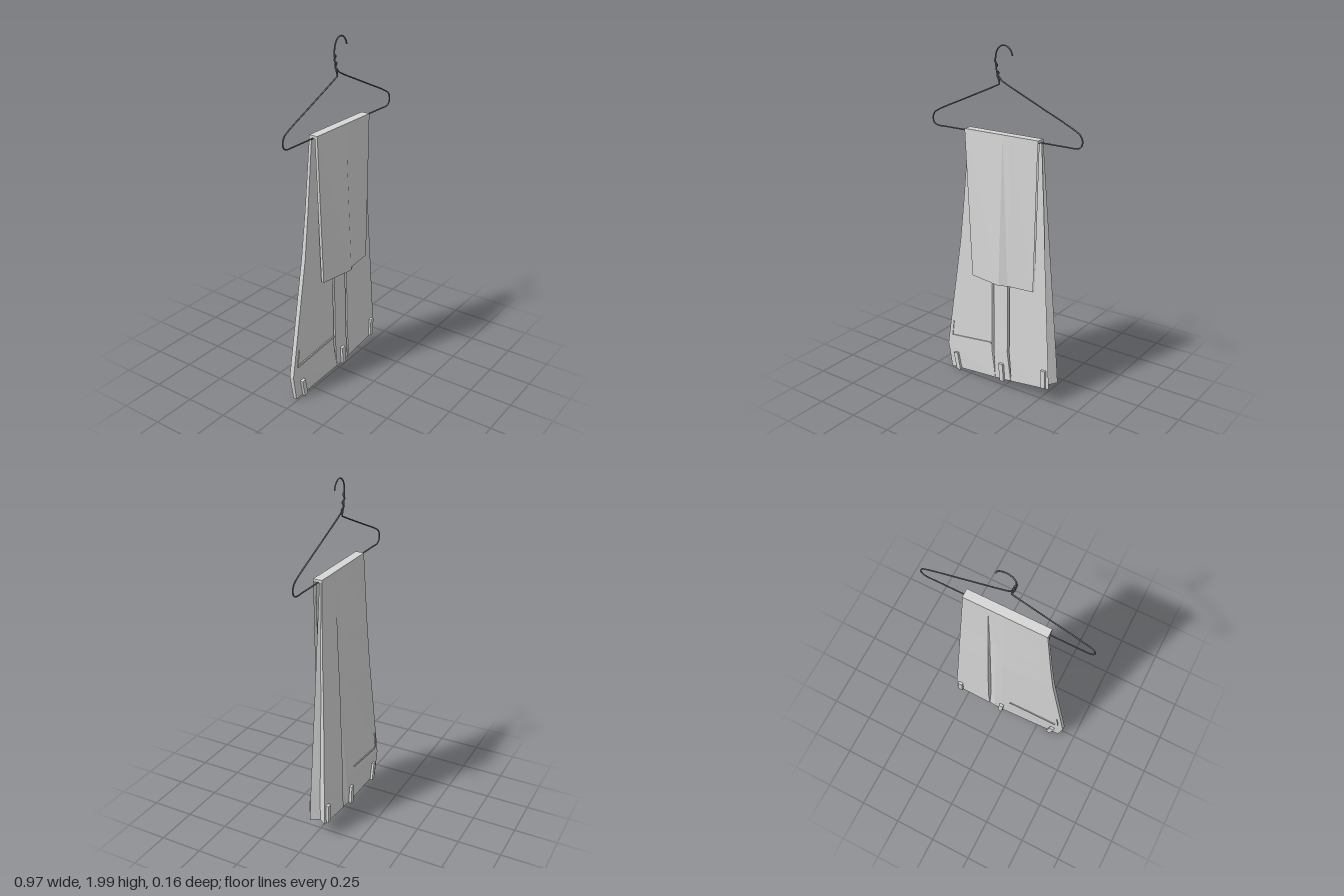
import * as THREE from 'three';

const cloth = new THREE.MeshStandardMaterial({ name: 'light grey cloth', color: 0xd7d7d7, flatShading: true, side: THREE.DoubleSide });
const wire = new THREE.MeshStandardMaterial({ name: 'grey wire', color: 0x707070 });

const V = (x, y, z) => new THREE.Vector3(x, y, z);

function add(parent, name, geometry, material) {
  const mesh = new THREE.Mesh(geometry, material);
  mesh.name = name;
  parent.add(mesh);
  return mesh;
}

// Open tube joining rings of equal length, from top to bottom
function loft(rings) {
  const n = rings[0].length;
  const index = [];
  for (let r = 0; r < rings.length - 1; r++) {
    for (let i = 0; i < n; i++) {
      const a = r * n + i, b = r * n + (i + 1) % n;
      index.push(a, b, a + n, b, b + n, a + n);
    }
  }
  const geometry = new THREE.BufferGeometry();
  geometry.setAttribute('position', new THREE.Float32BufferAttribute(rings.flat().flatMap((p) => p.toArray()), 3));
  geometry.setIndex(index);
  geometry.computeVertexNormals();
  return geometry;
}

// Depth across a row, from its left, centre and right values
function across(z, x, l, r) {
  return x < 0 ? THREE.MathUtils.lerp(z[1], z[0], x / l) : THREE.MathUtils.lerp(z[1], z[2], x / r);
}

// One cross-section of the trousers, with pleat grooves on both faces
function bodyRing({ l, r, back, front, groove, tuck, shift }) {
  const at = (x, z) => V(x, THREE.MathUtils.mapLinear(x, l[0], r[0], l[1], r[1]), z);
  const ring = [];
  for (const [x, d] of [[l[0], 0], [0, 0], [0.045, 0], [0.085, 1], [0.092, 0], [r[0], 0]]) {
    ring.push(at(x, across(back, x, l[0], r[0]) + d * groove));
  }
  // side seam tucked inward
  ring.push(at(r[0] - tuck, (back[2] + front[2]) / 2));
  for (const [x, d] of [[r[0], 0], [0.047, 0], [0.04, 1], [0.033, 0], [-0.066, 0], [-0.072, 0.4], [-0.08, 0], [l[0], 0]]) {
    const px = x === r[0] || x === l[0] ? x : x + shift;
    ring.push(at(px, across(front, px, l[0], r[0]) - d * groove));
  }
  return ring;
}

// Thin straight strip between two points
function strip(parent, name, a, b, width, depth) {
  const d = b.clone().sub(a);
  const mesh = add(parent, name, new THREE.BoxGeometry(d.length(), width, depth), cloth);
  mesh.position.copy(a).add(b).multiplyScalar(0.5);
  mesh.quaternion.setFromUnitVectors(V(1, 0, 0), d.normalize());
}

function tube(parent, name, points, radius, segments) {
  const path = new THREE.CatmullRomCurve3(points.map(([x, y, z = 0.008]) => V(x, y, z)));
  add(parent, name, new THREE.TubeGeometry(path, segments, radius, 8), wire);
}

export function createModel() {
  const model = new THREE.Group();
  model.name = 'trousersOnHanger';

  // Long part of the trousers, waist at the bottom
  const trousers = new THREE.Group();
  trousers.name = 'trousers';
  model.add(trousers);
  const rows = [
    { l: [-0.24, 1.525], r: [0.235, 1.525], back: [-0.015, -0.015, -0.015], front: [0, 0, 0], groove: 0, tuck: 0.004, shift: 0 },
    { l: [-0.28, 1.12], r: [0.262, 1.12], back: [-0.02, -0.03, -0.028], front: [0, 0.008, 0.008], groove: 0.006, tuck: 0.012, shift: 0 },
    { l: [-0.31, 0.86], r: [0.277, 0.86], back: [-0.025, -0.042, -0.04], front: [0, 0.014, 0.014], groove: 0.015, tuck: 0.02, shift: 0 },
    { l: [-0.425, 0.16], r: [0.314, 0.29], back: [-0.035, -0.061, -0.06], front: [-0.008, 0.024, 0.027], groove: 0.026, tuck: 0.03, shift: 0.003 },
    { l: [-0.4, 0.005], r: [0.325, 0.1], back: [-0.032, -0.062, -0.066], front: [-0.01, 0.024, 0.029], groove: 0.004, tuck: 0.035, shift: 0.018 },
  ];
  add(trousers, 'body', loft(rows.map(bodyRing)), cloth);

  // Folded legs hanging in front, bulging along the crease
  const flapRing = (y, l, r, back, edge, bulge) => [
    V(l, y, back), V(r, y, back), V(r - 0.012, y, (back + edge) / 2), V(r, y, edge),
    V(0.06, y, edge + bulge * 0.42), V(0.012, y, edge + bulge), V(l, y, edge),
  ];
  add(trousers, 'foldedLegs', loft([
    flapRing(1.525, -0.24, 0.235, 0.02, 0.036, 0),
    flapRing(0.678, -0.198, 0.217, 0.022, 0.038, 0.039),
  ]), cloth);

  // Fold over the bar
  const fold = add(trousers, 'fold', new THREE.BoxGeometry(0.477, 0.015, 0.052), cloth);
  fold.position.set(-0.002, 1.525, 0.01);

  // Pocket welts and their side seams
  strip(trousers, 'frontPocket', V(-0.39, 0.22, -0.003), V(-0.08, 0.268, 0.0205), 0.012, 0.007);
  strip(trousers, 'backPocket', V(-0.37, 0.215, -0.041), V(-0.06, 0.268, -0.058), 0.01, 0.006);
  strip(trousers, 'frontPocketSeam', V(-0.388, 0.22, -0.005), V(-0.375, 0.32, -0.003), 0.004, 0.006);
  strip(trousers, 'backPocketSeam', V(-0.388, 0.215, -0.038), V(-0.375, 0.32, -0.037), 0.004, 0.006);

  // Belt loops on both faces
  for (const [x, y, zFront, zBack] of [[-0.345, 0.062, 0.004, -0.044], [0, 0.107, 0.03, -0.069], [0.29, 0.157, 0.034, -0.071]]) {
    for (const z of [zFront, zBack]) {
      const loop = add(trousers, 'beltLoop', new THREE.BoxGeometry(0.028, 0.11, 0.016), cloth);
      loop.position.set(x, y, z);
      loop.rotation.z = x < -0.1 ? 0.2 : x > 0.1 ? 0 : 0.08;
    }
  }

  // Wire hanger: frame, hook and twisted neck
  const hanger = new THREE.Group();
  hanger.name = 'hanger';
  model.add(hanger);
  tube(hanger, 'frame', [
    [-0.03, 1.815], [-0.026, 1.795], [-0.05, 1.782], [-0.25, 1.693], [-0.44, 1.608], [-0.47, 1.588], [-0.483, 1.555],
    [-0.472, 1.526], [-0.445, 1.517], [-0.4, 1.517], [0, 1.517], [0.4, 1.517], [0.445, 1.517], [0.472, 1.526], [0.483, 1.555],
    [0.47, 1.588], [0.44, 1.608], [0.22, 1.707], [0.02, 1.796], [-0.015, 1.815], [-0.032, 1.835],
  ], 0.004, 180);
  tube(hanger, 'hook', [
    [-0.028, 1.8], [-0.04, 1.84], [-0.048, 1.88], [-0.052, 1.92], [-0.045, 1.96], [-0.025, 1.987],
    [0.002, 1.996], [0.03, 1.987], [0.048, 1.967], [0.056, 1.945],
  ], 0.004, 60);
  const twist = [];
  for (let i = 0; i <= 20; i++) {
    const t = i / 20, a = t * Math.PI * 5;
    twist.push([-0.03 - 0.021 * t + 0.006 * Math.cos(a), 1.815 + 0.1 * t, 0.008 + 0.006 * Math.sin(a)]);
  }
  tube(hanger, 'twistedNeck', twist, 0.0035, 60);

  return model;
}
